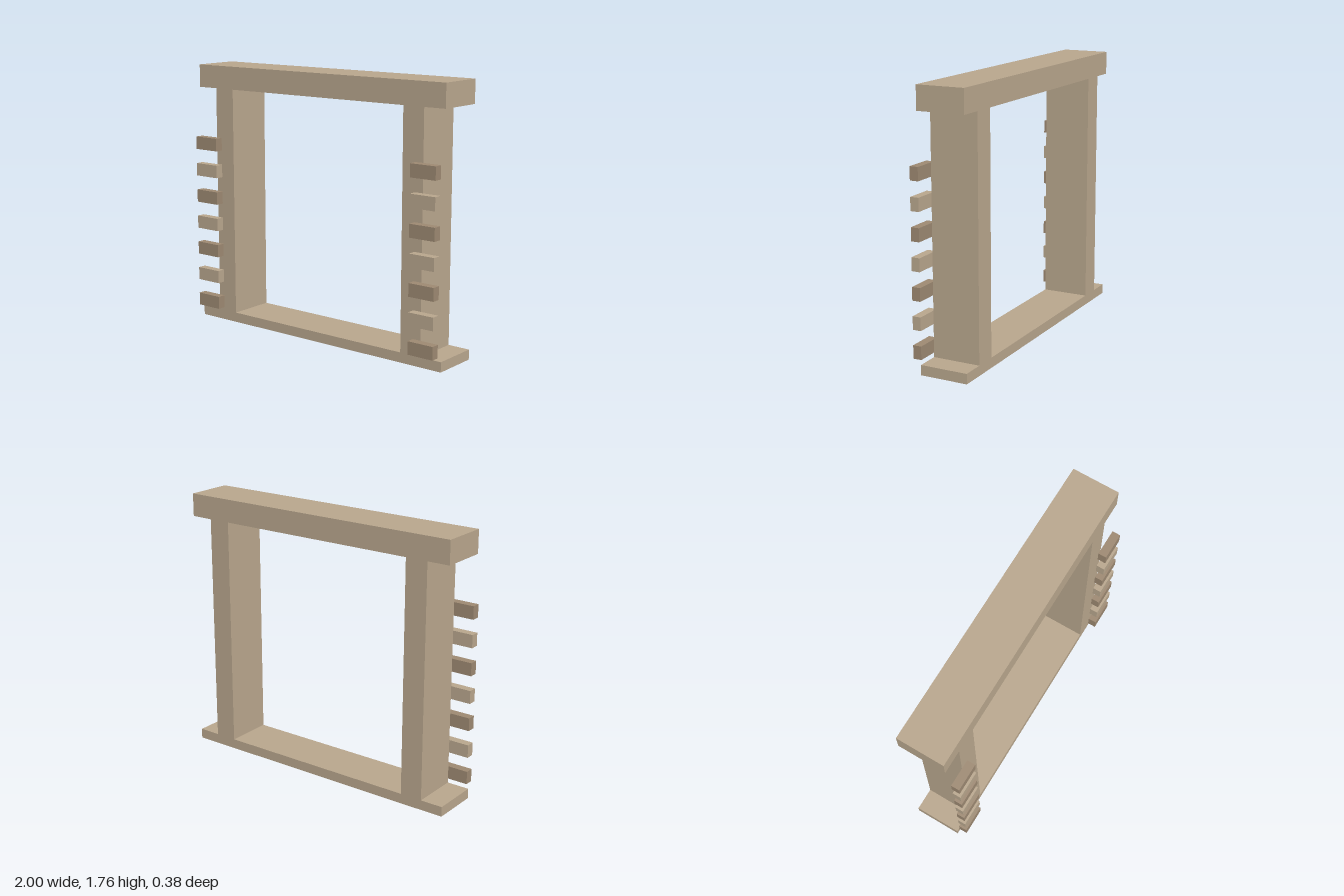
import * as THREE from 'three';

export function createModel() {
  const model = new THREE.Group();
  const light = new THREE.MeshStandardMaterial({ color: 0xb7a58c });
  const dark = new THREE.MeshStandardMaterial({ color: 0x9c8871 });

  // Box given by its extents along each axis
  function block(name, [x0, x1], [y0, y1], [z0, z1], material) {
    const mesh = new THREE.Mesh(new THREE.BoxGeometry(x1 - x0, y1 - y0, z1 - z0), material);
    mesh.position.set((x0 + x1) / 2, (y0 + y1) / 2, (z0 + z1) / 2);
    mesh.name = name;
    model.add(mesh);
  }

  // Frame: sill and lintel overhang the two posts
  const depth = [-0.191, 0.126];
  block('sill', [-1, 1], [0, 0.066], depth, light);
  block('lintel', [-1, 1], [1.612, 1.765], depth, light);

  for (const [side, s] of [['left', 1], ['right', -1]]) {
    const span = (a, b) => (s > 0 ? [a, b] : [-b, -a]);
    block(`${side}Post`, span(0.697, 0.848), [0.066, 1.612], depth, light);

    // Quoin stones of alternating shade, standing just in front of the post
    for (let i = 0; i < 7; i++) {
      const y = 0.132 + i * 0.184;
      block(`${side}Quoin${i + 1}`, span(0.797, 0.981), [y - 0.043, y + 0.043],
        [0.135, 0.191], i % 2 ? light : dark);
    }
  }
  return model;
}
